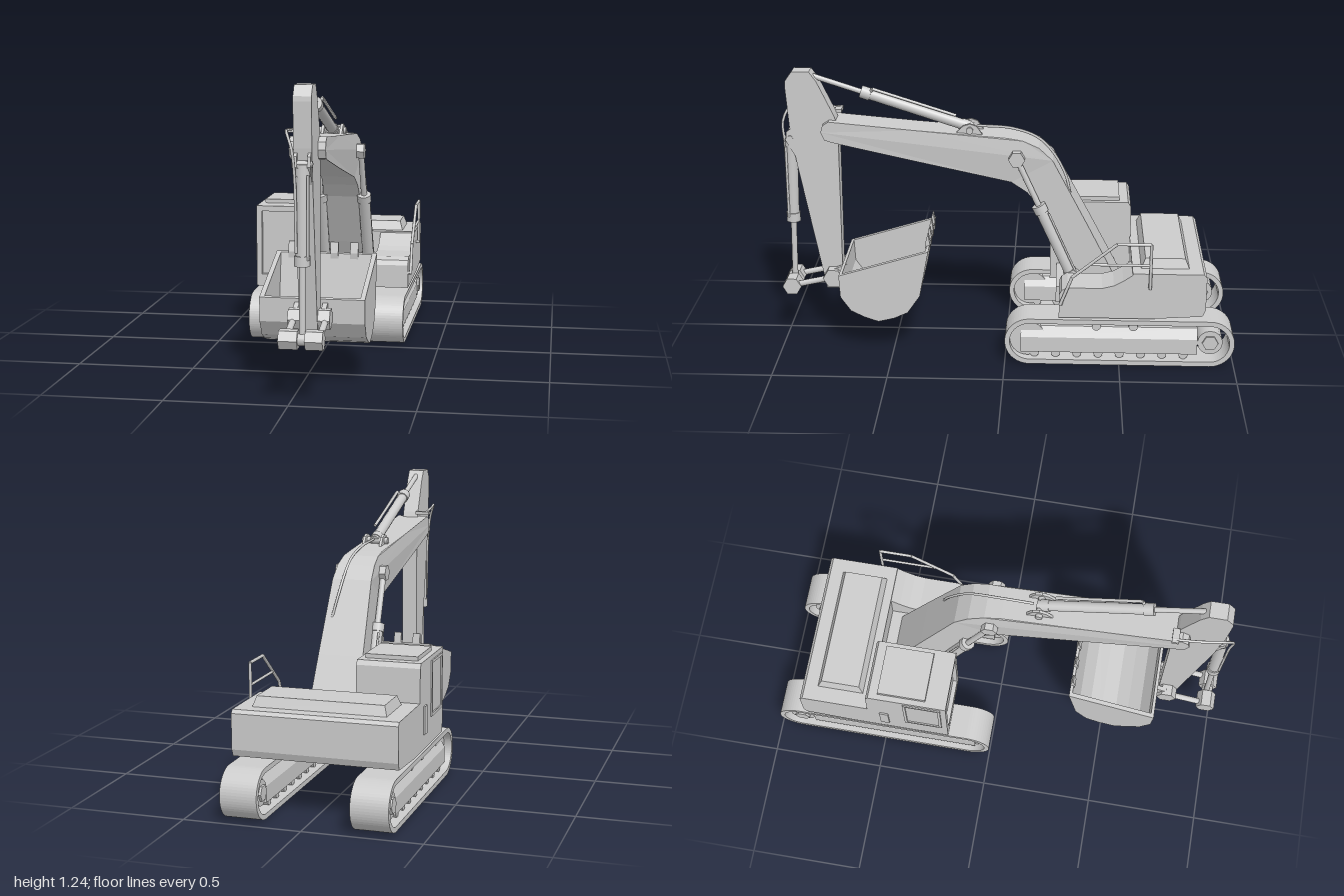
import * as THREE from 'three';

const mat = new THREE.MeshStandardMaterial({ color: 0xcccccc });
const flat = new THREE.MeshStandardMaterial({ color: 0xcccccc, flatShading: true });
const V = (x, y, z) => new THREE.Vector3(x, y, z);
const CX = 0.05; // centre line of the digging arm

function add(parent, name, geo, m = mat) {
  const mesh = new THREE.Mesh(geo, m);
  mesh.name = name;
  parent.add(mesh);
  return mesh;
}
const shapeOf = (pts) => new THREE.Shape(pts.map(([a, b]) => new THREE.Vector2(a, b)));

// side profile given as [z, y], spanning x0 to x1
function sideSlab(parent, name, profile, x0, x1, steps = 1) {
  const shape = Array.isArray(profile) ? shapeOf(profile) : profile;
  const geo = new THREE.ExtrudeGeometry(shape, { depth: x1 - x0, bevelEnabled: false, steps, curveSegments: 14 });
  geo.rotateY(-Math.PI / 2).translate(x1, 0, 0);
  return add(parent, name, geo);
}
function box(parent, name, x0, x1, y0, y1, z0, z1) {
  const geo = new THREE.BoxGeometry(x1 - x0, y1 - y0, z1 - z0);
  geo.translate((x0 + x1) / 2, (y0 + y1) / 2, (z0 + z1) / 2);
  return add(parent, name, geo);
}
function rod(parent, name, a, b, r, sides = 14, m = mat) {
  const dir = b.clone().sub(a);
  const mesh = add(parent, name, new THREE.CylinderGeometry(r, r, dir.length(), sides), m);
  mesh.position.copy(a).add(b).multiplyScalar(0.5);
  mesh.quaternion.setFromUnitVectors(V(0, 1, 0), dir.normalize());
  return mesh;
}
const hexPin = (parent, name, x0, x1, y, z, r) => rod(parent, name, V(x0, y, z), V(x1, y, z), r, 6, flat);
function hose(parent, name, pts, r = 0.006) {
  const curve = new THREE.CatmullRomCurve3(pts.map((p) => V(...p)));
  add(parent, name, new THREE.TubeGeometry(curve, 28, r, 6));
}
// rectangular ring, facing +z
function frame(w, h, t, depth) {
  const s = shapeOf([[-w / 2, -h / 2], [w / 2, -h / 2], [w / 2, h / 2], [-w / 2, h / 2]]);
  const a = w / 2 - t, b = h / 2 - t;
  s.holes.push(shapeOf([[-a, -b], [-a, b], [a, b], [a, -b]]));
  return new THREE.ExtrudeGeometry(s, { depth, bevelEnabled: false });
}
// hydraulic ram: thin rod, thick barrel with collars
function ram(parent, name, rodEnd, barrelEnd, split, r) {
  const g = new THREE.Group();
  g.name = name;
  parent.add(g);
  const at = (t) => rodEnd.clone().lerp(barrelEnd, t);
  rod(g, 'ramRod', rodEnd, at(split), r * 0.5);
  rod(g, 'ramBarrel', at(split), barrelEnd, r);
  rod(g, 'ramCollar', at(split), at(split + 0.06), r * 1.2);
  rod(g, 'ramCollar', at(0.93), at(0.98), r * 1.15);
}

function loop(r, Type) {
  const s = new Type();
  s.absarc(-0.107, 0.108, r, -Math.PI / 2, Math.PI / 2, false);
  s.absarc(-0.893, 0.108, r, Math.PI / 2, Math.PI * 1.5, false);
  s.closePath();
  return s;
}
function track(parent, name, x0, x1) {
  const g = new THREE.Group();
  g.name = name;
  parent.add(g);
  const mid = (x0 + x1) / 2;
  const band = loop(0.107, THREE.Shape);
  band.holes.push(loop(0.085, THREE.Path));
  sideSlab(g, 'trackBelt', band, x0, x1);
  // roller frame with sloping shoulders
  const section = shapeOf([[-0.06, 0.05], [0.06, 0.05], [0.06, 0.12], [0.035, 0.165], [-0.035, 0.165], [-0.06, 0.12]]);
  const fg = new THREE.ExtrudeGeometry(section, { depth: 0.77, bevelEnabled: false });
  add(g, 'trackFrame', fg.translate(mid, 0, -0.84));
  for (let i = 0; i < 8; i++) {
    const z = -0.13 - i * 0.093;
    rod(g, 'roller', V(mid - 0.05, 0.042, z), V(mid + 0.05, 0.042, z), 0.02, 10);
  }
  for (const z of [-0.4, -0.56]) rod(g, 'topRoller', V(mid - 0.05, 0.172, z), V(mid + 0.05, 0.172, z), 0.02, 10);
  rod(g, 'idler', V(mid - 0.045, 0.108, -0.1), V(mid + 0.045, 0.108, -0.1), 0.08, 20);
  rod(g, 'sprocket', V(mid - 0.06, 0.108, -0.895), V(mid + 0.06, 0.108, -0.895), 0.055, 16);
  hexPin(g, 'sprocketHub', mid - 0.07, mid + 0.07, 0.108, -0.895, 0.035);
}

function house(parent) {
  const g = new THREE.Group();
  g.name = 'house';
  parent.add(g);
  sideSlab(g, 'rearBody', [[-0.55, 0.225], [-0.63, 0.225], [-0.855, 0.24], [-0.868, 0.27], [-0.868, 0.42], [-0.855, 0.435], [-0.55, 0.435]].reverse(), -0.36, 0.34);
  // engine cover with sloping rim
  const cover = new THREE.BoxGeometry(0.57, 0.045, 0.21);
  const p = cover.attributes.position;
  for (let i = 0; i < p.count; i++) if (p.getY(i) > 0) p.setXYZ(i, p.getX(i) * 0.95, p.getY(i), p.getZ(i) * 0.82);
  add(g, 'engineCover', cover, flat).position.set(-0.007, 0.455, -0.692);
  box(g, 'deck', -0.09, 0.18, 0.225, 0.3, -0.56, -0.22);
  // side tank sweeping up to the rear body
  sideSlab(g, 'sideTank', [[-0.56, 0.225], [-0.235, 0.225], [-0.235, 0.33], [-0.245, 0.352], [-0.27, 0.365], [-0.42, 0.365], [-0.47, 0.378], [-0.51, 0.4], [-0.56, 0.435]].reverse(), 0.175, 0.34);
  // cab
  sideSlab(g, 'cab', [[-0.21, 0.225], [-0.21, 0.6], [-0.54, 0.6], [-0.552, 0.58], [-0.56, 0.225]], -0.36, -0.087);
  const front = add(g, 'windscreenFrame', frame(0.273, 0.345, 0.025, 0.02));
  front.position.set(-0.2235, 0.4275, -0.21);
  box(g, 'cabSill', -0.36, -0.087, 0.225, 0.26, -0.21, -0.19);
  const side = add(g, 'doorFrame', frame(0.17, 0.24, 0.012, 0.006));
  side.rotation.y = -Math.PI / 2;
  side.position.set(-0.36, 0.46, -0.3);
  box(g, 'doorHandle', -0.367, -0.36, 0.29, 0.41, -0.5, -0.46);
  box(g, 'roofCap', -0.335, -0.11, 0.6, 0.618, -0.5, -0.285);
  // handrail
  const rail = [[0.29, -0.24], [0.42, -0.29], [0.575, -0.48], [0.575, -0.625], [0.37, -0.625]];
  for (let i = 0; i < 4; i++) rod(g, 'handrail', V(0.352, ...rail[i]), V(0.352, ...rail[i + 1]), 0.007, 8);
  rod(g, 'handrail', V(0.352, 0.48, -0.365), V(0.352, 0.48, -0.625), 0.006, 8);
  for (const [y, z] of [[0.295, -0.245], [0.375, -0.625]]) rod(g, 'handrailFoot', V(0.33, y, z), V(0.356, y, z), 0.008, 8);
}

function arm(parent) {
  const g = new THREE.Group();
  g.name = 'arm';
  parent.add(g);
  // boom, spreading wider toward its foot
  const boom = sideSlab(g, 'boom', [[0.77, 1.028], [0.4, 0.995], [0, 0.965], [-0.07, 0.955], [-0.14, 0.925], [-0.2, 0.87],
    [-0.36, 0.57], [-0.5, 0.3], [-0.36, 0.28], [-0.27, 0.43], [-0.14, 0.66], [-0.09, 0.72], [-0.02, 0.765], [0.4, 0.855],
    [0.76, 0.935], [0.79, 0.945], [0.805, 0.98], [0.797, 1.01]], -0.073, 0.073);
  const p = boom.geometry.attributes.position;
  for (let i = 0; i < p.count; i++) {
    const t = Math.min(1, Math.max(0, -p.getZ(i) / 0.5));
    p.setX(i, 0.045 + p.getX(i) * (1 + 0.5 * t));
  }
  boom.geometry.computeVertexNormals();
  sideSlab(g, 'stick', [[0.957, 1.18], [0.955, 1.2], [0.925, 1.242], [0.85, 1.242], [0.82, 1.2], [0.75, 1.05], [0.733, 1.0],
    [0.738, 0.235], [0.81, 0.235], [0.92, 0.83], [0.945, 1.0]], 0.015, 0.087);

  // boom rams on both sides
  hexPin(g, 'boomPin', -0.068, 0.162, 0.88, -0.045, 0.036);
  for (const s of [-1, 1]) {
    const x = 0.047 + s * 0.098, xb = 0.047 + s * 0.103;
    ram(g, 'boomRam', V(x, 0.88, -0.045), V(xb, 0.33, -0.295), 0.38, 0.026);
    rod(g, 'ramPipe', V(x + s * 0.02, 0.64, -0.185), V(xb + s * 0.02, 0.36, -0.31), 0.005, 6);
    sideSlab(g, 'ramBracket', [[-0.25, 0.28], [-0.265, 0.36], [-0.295, 0.38], [-0.325, 0.36], [-0.36, 0.28]], xb - 0.03, xb + 0.03);
  }
  // stick ram above the boom
  ram(g, 'stickRam', V(CX, 1.215, 0.84), V(CX, 0.99, 0.15), 0.3, 0.023);
  rod(g, 'ramPipe', V(CX + 0.02, 1.165, 0.58), V(CX + 0.02, 1.05, 0.22), 0.007, 6);
  rod(g, 'ramPipe', V(CX + 0.02, 1.165, 0.58), V(CX, 1.13, 0.6), 0.007, 6);
  for (const x of [0.005, 0.085]) sideSlab(g, 'stickRamBracket', [[0.23, 0.97], [0.19, 1.01], [0.16, 1.02], [0.13, 1.01], [0.1, 0.965]], x, x + 0.012);
  rod(g, 'stickRamPin', V(-0.01, 0.992, 0.16), V(0.108, 0.992, 0.16), 0.015, 10);
  // bucket ram in front of the stick
  ram(g, 'bucketRam', V(CX, 0.26, 0.96), V(CX, 0.94, 0.945), 0.42, 0.026);
  for (const x of [0.018, 0.072]) sideSlab(g, 'bucketRamBracket', [[0.92, 0.85], [0.965, 0.93], [0.96, 0.97], [0.92, 1.0]], x, x + 0.012);
  rod(g, 'bucketRamPin', V(0.01, 0.94, 0.945), V(0.09, 0.94, 0.945), 0.014, 10);
  rod(g, 'ramPipe', V(CX + 0.025, 0.9, 0.968), V(CX + 0.025, 0.57, 0.97), 0.006, 6);

  // bucket linkage
  for (const [a, b] of [[-0.04, 0.035], [0.065, 0.135]]) hexPin(g, 'linkPin', a, b, 0.258, 0.962, 0.042);
  rod(g, 'linkAxle', V(-0.03, 0.258, 0.962), V(0.13, 0.258, 0.962), 0.025);
  hexPin(g, 'bucketPin', -0.035, 0.135, 0.3, 0.775, 0.045);
  for (const x of [-0.015, 0.115]) rod(g, 'link', V(x, 0.258, 0.962), V(x, 0.3, 0.775), 0.014, 8);

  // hoses
  hose(g, 'boomHose', [[0.05, 1.0, 0.13], [0.055, 0.99, -0.03], [0.07, 0.945, -0.15], [0.09, 0.81, -0.25], [0.12, 0.65, -0.29], [0.125, 0.48, -0.33]]);
  hose(g, 'stickHose', [[-0.03, 1.05, 0.73], [-0.025, 1.06, 0.85], [-0.01, 1.06, 0.95], [0.015, 1.0, 0.985], [0.025, 0.9, 0.98], [0.03, 0.6, 0.975]]);
  box(g, 'hoseClamp', -0.045, 0.02, 1.04, 1.055, 0.725, 0.755);
}

function bucket(parent) {
  const g = new THREE.Group();
  g.name = 'bucket';
  parent.add(g);
  const outer = [[0.73, 0.37], [0.725, 0.27], [0.68, 0.205], [0.62, 0.175], [0.56, 0.155], [0.49, 0.172], [0.43, 0.2], [0.375, 0.28], [0.335, 0.49]];
  const inner = outer.map(([z, y], i) => {
    const rim = i === 0 || i === outer.length - 1;
    return [0.53 + (z - 0.53) * 0.93, rim ? y + (i ? -0.004 : 0.004) : 0.36 + (y - 0.36) * 0.93];
  });
  sideSlab(g, 'bucketShell', [...outer, ...inner.reverse()], -0.165, 0.265);
  for (const x of [-0.165, 0.245]) sideSlab(g, 'bucketSide', outer, x, x + 0.02);
  // teeth on the lip
  for (const x of [-0.095, -0.005, 0.085, 0.17]) {
    sideSlab(g, 'tooth', [[0.335, 0.46], [0.352, 0.46], [0.356, 0.49], [0.345, 0.535], [0.34, 0.535], [0.333, 0.49]], x - 0.017, x + 0.017);
  }
  for (const x of [-0.02, 0.095]) sideSlab(g, 'bucketEar', [[0.715, 0.25], [0.79, 0.26], [0.8, 0.31], [0.77, 0.34], [0.715, 0.36]], x, x + 0.02);
}

export function createModel() {
  const model = new THREE.Group();
  model.name = 'excavator';
  track(model, 'rightTrack', -0.36, -0.202);
  track(model, 'leftTrack', 0.185, 0.342);
  house(model);
  arm(model);
  bucket(model);
  return model;
}
